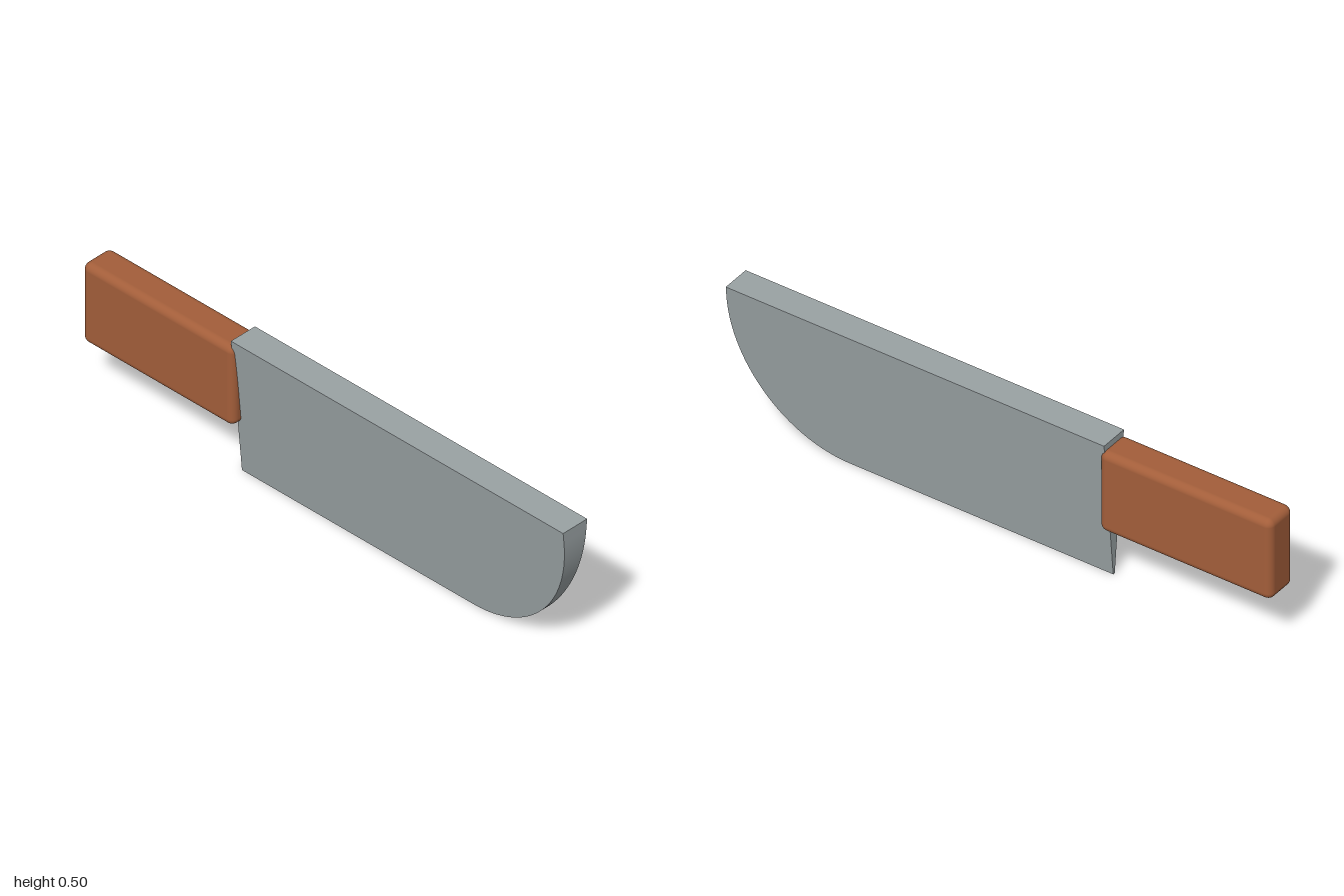
import * as THREE from 'three';
import { toCreasedNormals } from 'three/addons/utils/BufferGeometryUtils.js';
import { RoundedBoxGeometry } from 'three/addons/geometries/RoundedBoxGeometry.js';

const TOP = 0.505, HEEL = -0.385;

// Side outline extruded one unit, then tapered from spine to cutting edge
function bladeGeometry() {
  const outline = new THREE.Shape();
  outline.moveTo(HEEL, 0);
  outline.lineTo(0.58, 0);
  outline.absellipse(0.58, 0.47, 0.42, 0.47, -Math.PI / 2, 0, false, 0);
  outline.lineTo(1, TOP);
  outline.lineTo(HEEL, TOP);
  outline.closePath();

  let geometry = new THREE.ExtrudeGeometry(outline, { depth: 1, bevelEnabled: false, curveSegments: 32 });
  geometry.translate(0, 0, -0.5);
  geometry.rotateY(-Math.PI / 2);
  const p = geometry.attributes.position;
  for (let i = 0; i < p.count; i++) {
    const halfWidth = THREE.MathUtils.lerp(0.004, 0.0515, p.getY(i) / TOP);
    p.setX(i, p.getX(i) * 2 * halfWidth);
  }
  return toCreasedNormals(geometry, 0.5);
}

export function createModel() {
  const steel = new THREE.MeshStandardMaterial({ color: 0x9aa2a4 });
  steel.name = 'steel';
  const wood = new THREE.MeshStandardMaterial({ color: 0xa35e3a });
  wood.name = 'wood';

  const model = new THREE.Group();
  model.name = 'cleaver';

  const blade = new THREE.Mesh(bladeGeometry(), steel);
  blade.name = 'blade';

  // Rounded grip overlapping the heel of the blade
  const handle = new THREE.Mesh(new RoundedBoxGeometry(0.12, 0.295, 0.63, 5, 0.025), wood);
  handle.name = 'handle';
  handle.position.set(0, 0.3375, -0.685);

  model.add(blade, handle);
  return model;
}
